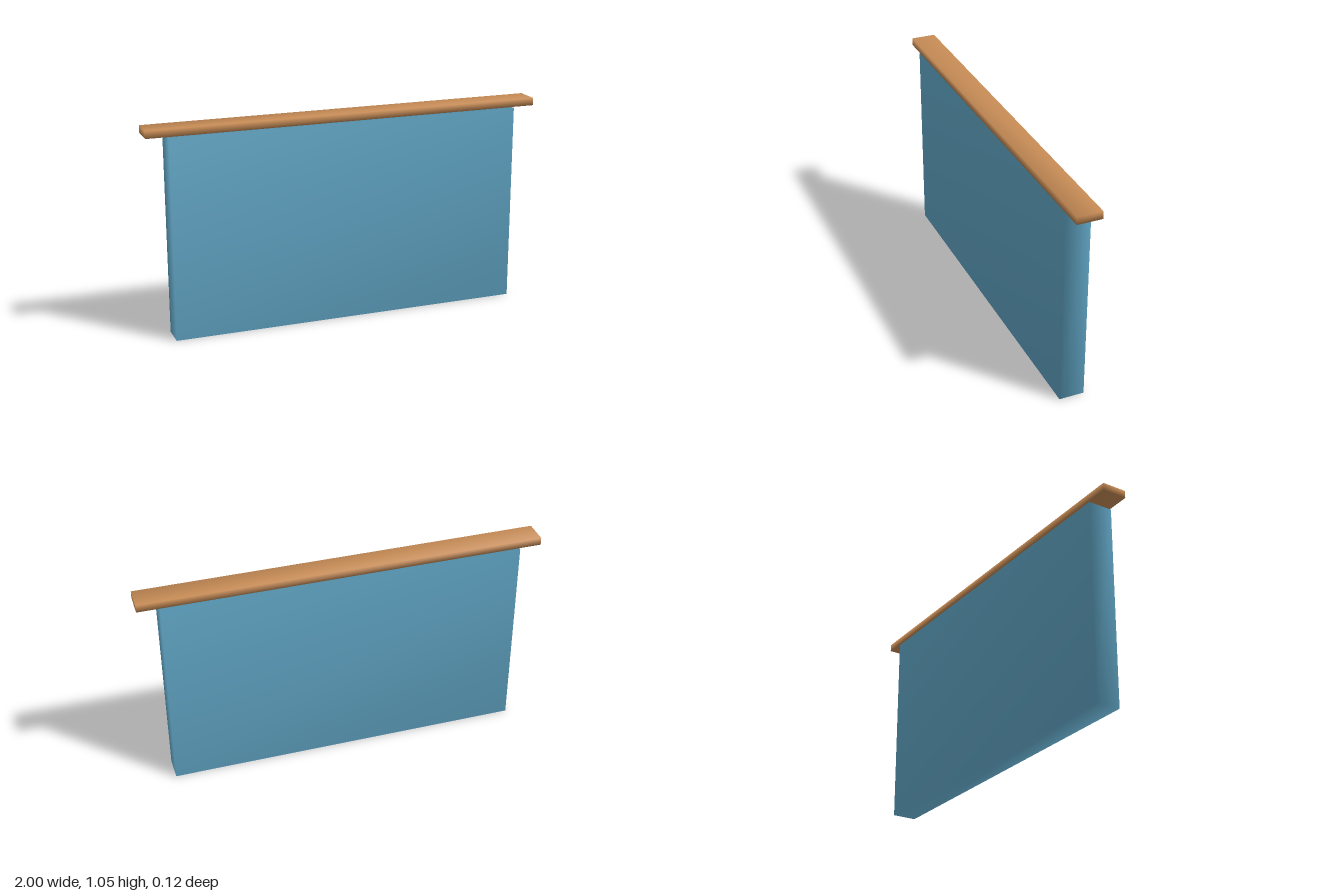
import * as THREE from 'three';
import { mergeVertices } from 'three/addons/utils/BufferGeometryUtils.js';

// Box with shared corners, so its shading is smooth across the edges
function softBox(name, width, bottom, top, depth, color) {
  const box = new THREE.BoxGeometry(width, top - bottom, depth);
  box.deleteAttribute('normal');
  box.deleteAttribute('uv');
  const geometry = mergeVertices(box);
  geometry.computeVertexNormals();
  const mesh = new THREE.Mesh(geometry, new THREE.MeshStandardMaterial({ color }));
  mesh.name = name;
  mesh.position.y = (bottom + top) / 2;
  return mesh;
}

export function createModel() {
  const model = new THREE.Group();
  model.name = 'framePanel';
  const depth = 0.124;

  // Blue panel, with a longer wooden bar just above it
  model.add(softBox('panel', 1.784, 0, 1.004, depth, 0x5fa3c2));
  model.add(softBox('topBar', 2, 1.01, 1.048, depth, 0xc68b55));
  return model;
}
